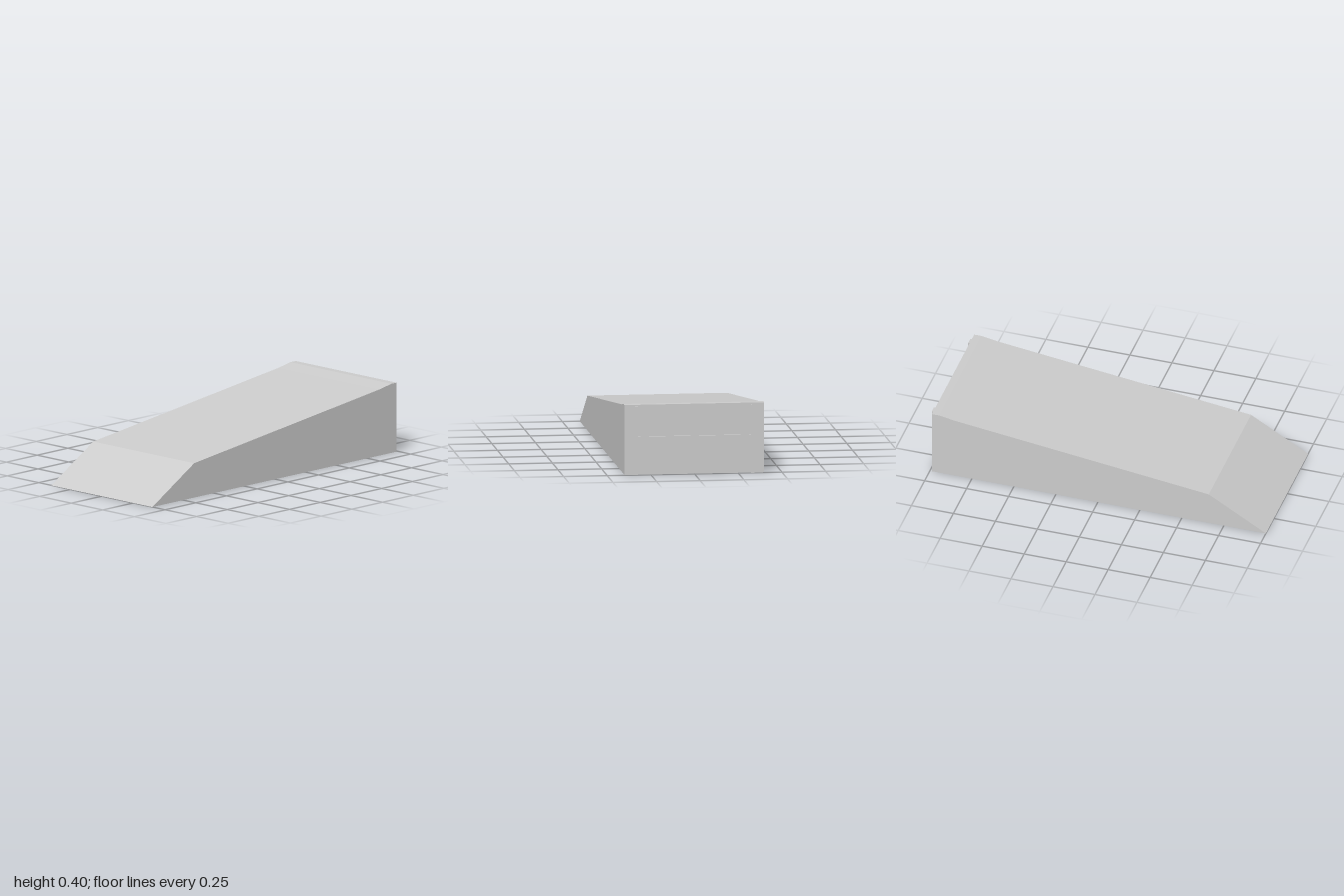
import * as THREE from 'three';

export function createModel() {
  const model = new THREE.Group();
  model.name = 'ramp';
  const material = new THREE.MeshStandardMaterial({ color: 0xcccccc, flatShading: true });

  // Wedge body: side profile as [z, y], extruded across the width
  const width = 0.8, backZ = -0.988;
  const profile = [[1, 0], [0.66, 0.2], [-0.85, 0.385], [-0.945, 0.402], [backZ, 0.402], [backZ, 0]];
  const shape = new THREE.Shape(profile.map(([z, y]) => new THREE.Vector2(-z, y)));
  const bodyGeometry = new THREE.ExtrudeGeometry(shape, { depth: width, bevelEnabled: false });
  bodyGeometry.translate(0, 0, -width / 2).rotateY(Math.PI / 2);
  const body = new THREE.Mesh(bodyGeometry, material);
  body.name = 'rampBody';
  model.add(body);

  // Raised frame on the back wall, sunk slightly into the body
  const addBar = (name, w, h, x, y) => {
    const bar = new THREE.Mesh(new THREE.BoxGeometry(w, h, 0.016), material);
    bar.name = name;
    bar.position.set(x, y, -0.992);
    model.add(bar);
  };
  for (const [name, side] of [['leftBackPost', 1], ['rightBackPost', -1]]) {
    addBar(name, 0.04, 0.394, side * 0.343, 0.197);
  }
  addBar('backCrossbar', 0.646, 0.04, 0, 0.2);

  return model;
}
